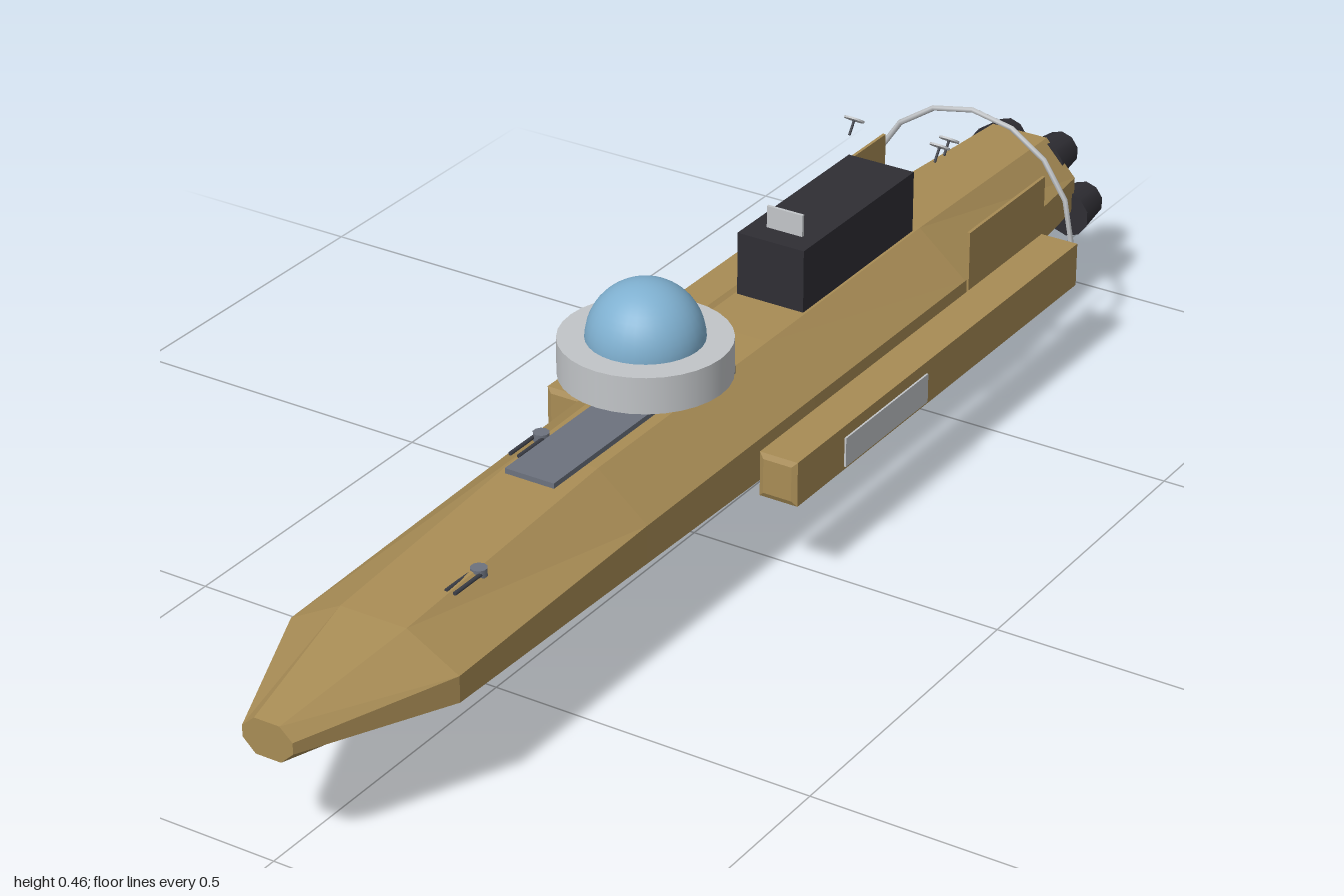
import * as THREE from 'three';

const paint = (name, color, side = THREE.FrontSide) => {
  const m = new THREE.MeshStandardMaterial({ color, side });
  m.name = name;
  return m;
};

// Loft of eight-sided sections, front to back, with flat faces and closed ends
function loft(stations) {
  const rings = stations.map(([z, w, top, bottom, flat, hi, lo]) => [
    [w, lo], [w, hi], [flat, top], [-flat, top], [-w, hi], [-w, lo], [-flat, bottom], [flat, bottom],
  ].map(([x, y]) => [x, y, z]));
  const pos = [];
  const tri = (...pts) => pts.forEach(p => pos.push(...p));
  const n = 8, last = rings.length - 1;
  for (let i = 0; i < last; i++) {
    for (let j = 0; j < n; j++) {
      const k = (j + 1) % n;
      const a = rings[i][j], b = rings[i][k], c = rings[i + 1][j], d = rings[i + 1][k];
      tri(a, c, b);
      tri(b, c, d);
    }
  }
  for (let j = 1; j < n - 1; j++) {
    tri(rings[0][0], rings[0][j], rings[0][j + 1]);
    tri(rings[last][0], rings[last][j + 1], rings[last][j]);
  }
  const g = new THREE.BufferGeometry();
  g.setAttribute('position', new THREE.Float32BufferAttribute(pos, 3));
  g.computeVertexNormals();
  return g;
}

export function createModel() {
  const model = new THREE.Group();
  model.name = 'spaceship';
  const gold = paint('hull gold', 0xa88c55);
  const grey = paint('light grey', 0xc2c5c8);
  const black = paint('dark charcoal', 0x2f2e34);
  const slate = paint('deck slate', 0x6c727e);
  const blue = paint('dome blue', 0x7fb0d0);
  const gun = paint('gun metal', 0x3c3f48);

  const add = (name, geo, mat, x = 0, y = 0, z = 0, parent = model) => {
    const m = new THREE.Mesh(geo, mat);
    m.name = name;
    m.position.set(x, y, z);
    parent.add(m);
    return m;
  };
  // Box given by its limits on each axis
  const block = (name, mat, [x0, x1], [y0, y1], [z0, z1]) =>
    add(name, new THREE.BoxGeometry(x1 - x0, y1 - y0, z1 - z0), mat,
      (x0 + x1) / 2, (y0 + y1) / 2, (z0 + z1) / 2);

  // Hull: z, half width, top, bottom, half width of flats, side top, side bottom
  add('hull', loft([
    [1, 0.04, 0.212, 0.158, 0.02, 0.194, 0.177],
    [0.77, 0.135, 0.25, 0.125, 0.053, 0.205, 0.165],
    [0.33, 0.136, 0.28, 0.094, 0.056, 0.215, 0.156],
    [-0.1, 0.14, 0.285, 0.087, 0.06, 0.22, 0.15],
    [-0.53, 0.14, 0.287, 0.082, 0.06, 0.22, 0.15],
    [-0.945, 0.1, 0.268, 0.102, 0.048, 0.212, 0.158],
  ]), gold);

  // Deck plate, keel plate and the dark housing behind the dome
  block('deckPlate', slate, [-0.04, 0.04], [0.282, 0.29], [0, 0.412]);
  block('keelPlate', gold, [-0.047, 0.047], [0.075, 0.082], [-0.35, 0.42]);
  block('housing', black, [-0.056, 0.056], [0.28, 0.384], [-0.515, -0.203]);
  block('housingScreen', grey, [-0.03, 0.03], [0.384, 0.418], [-0.246, -0.241]);

  // Domed turret
  add('turretRing', new THREE.CylinderGeometry(0.124, 0.124, 0.056, 32), grey, 0, 0.348, 0.125);
  add('turretDome', new THREE.SphereGeometry(0.085, 32, 12, 0, Math.PI * 2, 0, Math.PI / 2),
    blue, 0, 0.375, 0.125);

  // Side pods with chamfered ends, floating panels and tail fins
  const podShape = new THREE.Shape();
  podShape.moveTo(-0.023, -0.027);
  podShape.lineTo(0.023, -0.027);
  podShape.lineTo(0.023, 0.027);
  podShape.lineTo(-0.023, 0.027);
  const podGeo = new THREE.ExtrudeGeometry(podShape, {
    depth: 0.812, bevelEnabled: true, bevelSize: 0.008, bevelThickness: 0.004, bevelSegments: 1,
  });
  for (const s of [1, -1]) {
    const side = s > 0 ? 'left' : 'right';
    const span = (a, b) => (s > 0 ? [a, b] : [-b, -a]);
    add(side + 'Pod', podGeo, gold, s * 0.179, 0.173, -0.751);
    block(side + 'PodPanel', grey, span(0.219, 0.222), [0.153, 0.199], [-0.28, -0.05]);
    block(side + 'Fin', gold, span(0.138, 0.143), [0.074, 0.298], [-0.765, -0.535]);
  }

  // Sixteen-sided hoop around the tail
  const hoop = new THREE.TorusGeometry(0.179, 0.0045, 6, 16);
  add('tailHoop', hoop, grey, 0, 0.185, -0.79);

  // Five nozzles: two above, three below
  const nozzle = new THREE.CylinderGeometry(0.03, 0.038, 0.063, 10).rotateX(-Math.PI / 2);
  const outlet = new THREE.CircleGeometry(0.0285, 10).rotateY(Math.PI);
  for (const [x, y] of [[-0.046, 0.227], [0.046, 0.227], [-0.093, 0.152], [0, 0.152], [0.093, 0.152]]) {
    add('nozzle', nozzle, black, x, y, -0.9675);
    add('nozzleOutlet', outlet, grey, x, y, -1);
  }

  // Tilted dish antennas on short stems, facing up and back
  for (const [x, z] of [[-0.08, -0.57], [0.075, -0.585], [0.075, -0.557]]) {
    const dish = new THREE.Group();
    dish.name = 'dishAntenna';
    dish.position.set(x, 0.414, z);
    dish.rotation.x = -0.6;
    add('dish', new THREE.CylinderGeometry(0.016, 0.016, 0.003, 14), grey, 0, 0, 0, dish);
    add('stem', new THREE.CylinderGeometry(0.002, 0.002, 0.024, 6), gun, 0, -0.013, 0, dish);
    model.add(dish);
  }

  // Small twin guns along the deck
  for (const [x, y, z] of [[-0.057, 0.283, 0.3], [0.055, 0.257, 0.61], [0.055, 0.285, 0], [-0.057, 0.287, -0.31]]) {
    const turret = new THREE.Group();
    turret.name = 'twinGun';
    turret.position.set(x, y, z);
    add('gunBase', new THREE.CylinderGeometry(0.012, 0.012, 0.012, 10), slate, 0, 0, 0, turret);
    for (const s of [-1, 1]) {
      const barrel = new THREE.CylinderGeometry(0.003, 0.003, 0.06, 6).rotateX(Math.PI / 2);
      add('gunBarrel', barrel, gun, s * 0.007, 0, 0.035, turret);
    }
    model.add(turret);
  }
  return model;
}
